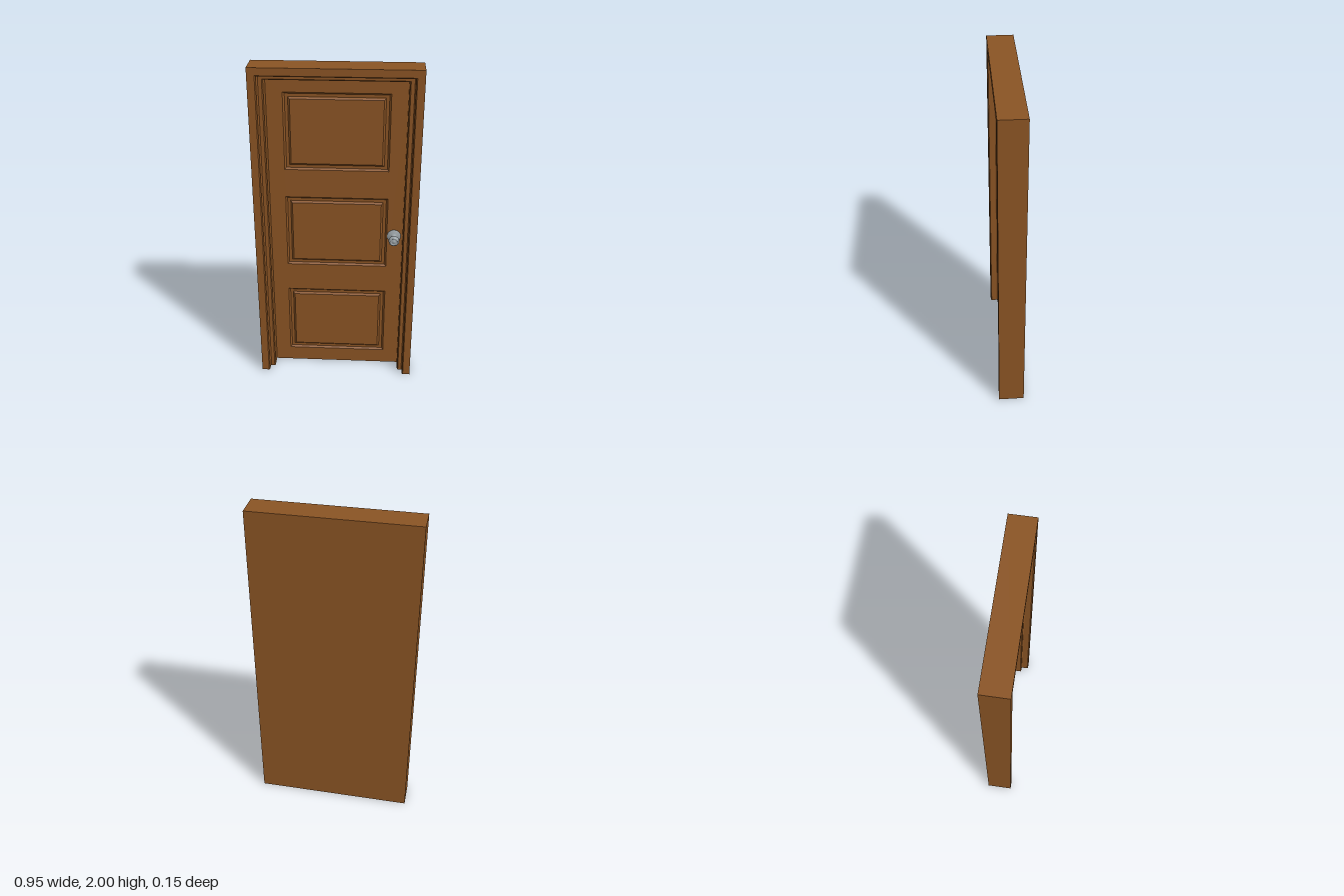
import * as THREE from 'three';

const W = 0.477, H = 2, BACK = -0.077, FRONT = 0.077, FACE = -0.048;

// Flat-shaded skin over a list of rings; ring points run counter-clockwise seen from the front
function skin(rings, closed, cap) {
  const pos = [];
  const quad = (a, b, c, d) => pos.push(...a, ...b, ...c, ...a, ...c, ...d);
  for (let r = 0; r + 1 < rings.length; r++) {
    const n = rings[r].length;
    for (let j = 0; j < (closed ? n : n - 1); j++) {
      const k = (j + 1) % n;
      quad(rings[r][j], rings[r][k], rings[r + 1][k], rings[r + 1][j]);
    }
  }
  if (cap) quad(...rings[rings.length - 1]);
  const g = new THREE.BufferGeometry();
  g.setAttribute('position', new THREE.Float32BufferAttribute(pos, 3));
  g.computeVertexNormals();
  return g;
}

export function createModel() {
  const model = new THREE.Group();
  const wood = new THREE.MeshStandardMaterial({ color: 0x8a5424 });
  const metal = new THREE.MeshStandardMaterial({ color: 0x9aa2a6 });
  const add = (name, geometry, material, parent = model) => {
    const mesh = new THREE.Mesh(geometry, material);
    mesh.name = name;
    parent.add(mesh);
    return mesh;
  };

  // Frame: stepped section (inset from the outer edge, z) mitred round three sides
  const section = [
    [0, BACK], [0, FRONT], [0.043, FRONT], [0.049, 0.071], [0.049, 0.036],
    [0.053, 0.03], [0.074, 0.03], [0.08, 0.024], [0.08, BACK],
  ];
  const frame = new THREE.Group();
  frame.name = 'frame';
  model.add(frame);
  const rings = [...section, section[0]].map(([i, z]) => [
    [W - i, 0, z], [W - i, H - i, z], [-W + i, H - i, z], [-W + i, 0, z],
  ]);
  add('frameMoulding', skin(rings, false), wood, frame);
  for (const s of [-1, 1]) {
    const foot = new THREE.Shape(section.map(([i, z]) => new THREE.Vector2(s * (W - i), z)));
    add(s > 0 ? 'leftFrameFoot' : 'rightFrameFoot', new THREE.ShapeGeometry(foot).rotateX(Math.PI / 2), wood, frame);
  }

  // Door leaf: solid back with a pierced front layer
  const door = new THREE.Group();
  door.name = 'door';
  model.add(door);
  const halfW = W - 0.08, top = H - 0.08, layer = 0.013;
  const backDepth = FACE - layer - BACK;
  add('doorBack', new THREE.BoxGeometry(halfW * 2, top, backDepth)
    .translate(0, top / 2, BACK + backDepth / 2), wood, door);
  const face = new THREE.Shape([[-halfW, 0], [halfW, 0], [halfW, top], [-halfW, top]]
    .map(p => new THREE.Vector2(...p)));

  // Raised panels: sunken border, then a bevelled field (inset, z offset)
  const panels = [
    ['bottomPanel', 0.095, 0.55], ['middlePanel', 0.73, 1.19], ['topPanel', 1.365, 1.83],
  ];
  const profile = [[0, 0], [0.004, -0.005], [0.01, -0.011], [0.028, -0.011], [0.031, -0.006], [0.039, 0]];
  for (const [name, y0, y1] of panels) {
    const x = 0.303;
    const rect = i => [[-x + i, y0 + i], [x - i, y0 + i], [x - i, y1 - i], [-x + i, y1 - i]];
    face.holes.push(new THREE.Path(rect(0).map(p => new THREE.Vector2(...p))));
    add(name, skin(profile.map(([i, z]) => rect(i).map(p => [...p, FACE + z])), true, true), wood, door);
  }
  add('doorFace', new THREE.ExtrudeGeometry(face, { depth: layer, bevelEnabled: false })
    .translate(0, 0, FACE - layer), wood, door);

  // Door knob: rosette, neck and dished head turned in one profile (radius, height)
  const knob = [
    [0, 0], [0.041, 0], [0.041, 0.004], [0.036, 0.009], [0.022, 0.011], [0.015, 0.016],
    [0.013, 0.04], [0.017, 0.047], [0.028, 0.053], [0.032, 0.061], [0.031, 0.071],
    [0.025, 0.079], [0.02, 0.08], [0.018, 0.076], [0.011, 0.076], [0.009, 0.08], [0, 0.081],
  ].map(p => new THREE.Vector2(...p));
  add('doorKnob', new THREE.LatheGeometry(knob, 32).rotateX(Math.PI / 2), metal)
    .position.set(0.345, 0.945, FACE);

  return model;
}
